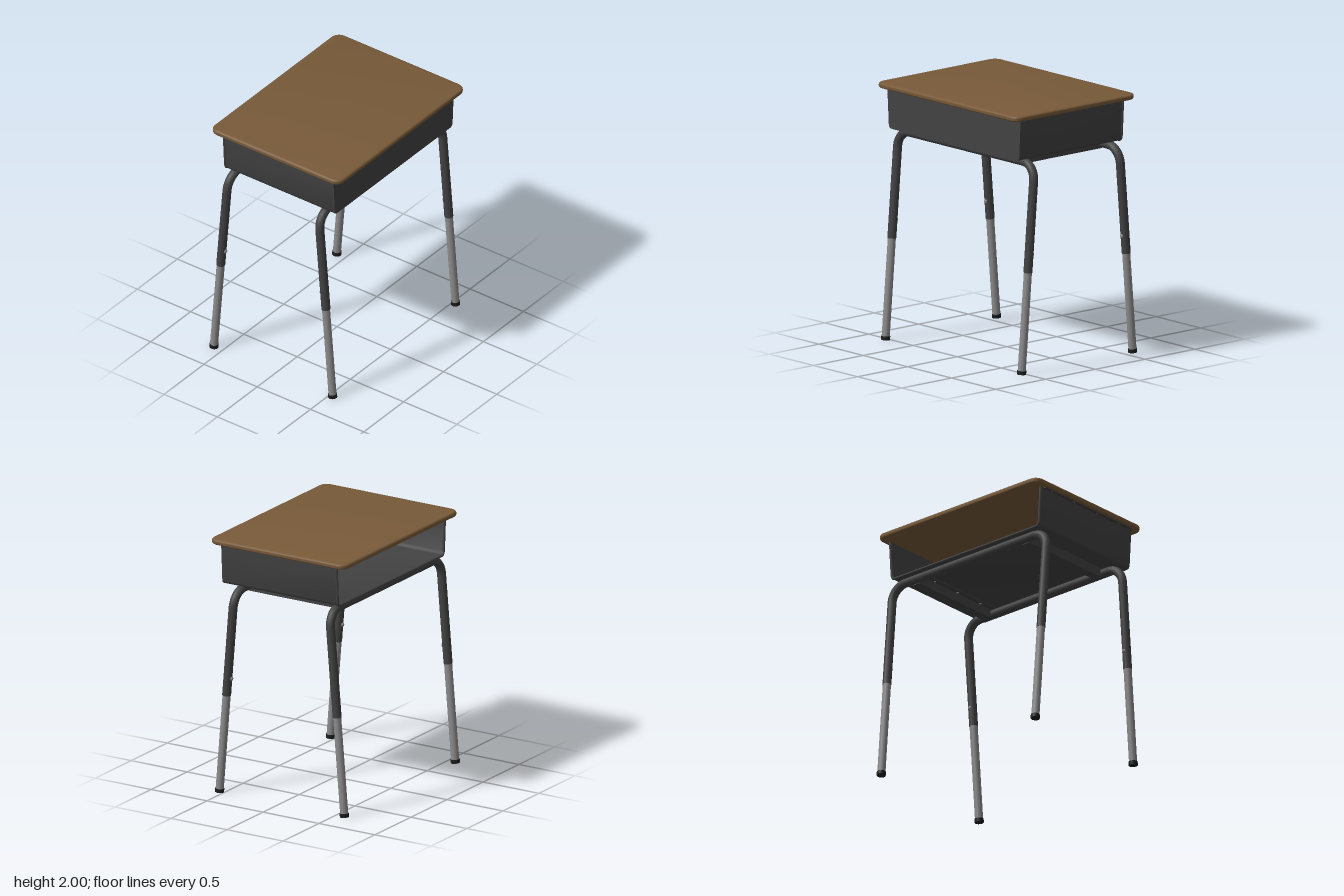
import * as THREE from 'three';
import { toCreasedNormals } from 'three/addons/utils/BufferGeometryUtils.js';

const mat = (name, color, side = THREE.FrontSide) => {
  const m = new THREE.MeshStandardMaterial({ color, side });
  m.name = name;
  return m;
};

export function createModel() {
  const wood = mat('brown wood', 0x785a39);
  const steel = mat('charcoal steel', 0x424242, THREE.DoubleSide);
  const chrome = mat('grey metal', 0x8c8c8c);
  const rubber = mat('black rubber', 0x1c1c1c);

  const model = new THREE.Group();
  model.name = 'schoolDesk';

  const add = (name, geometry, material, x = 0, y = 0, z = 0, parent = model) => {
    const mesh = new THREE.Mesh(geometry, material);
    mesh.name = name;
    mesh.position.set(x, y, z);
    parent.add(mesh);
    return mesh;
  };

  // Desktop: rounded rectangle with a bullnose edge
  const w = 0.785, d = 0.59, r = 0.055;
  const outline = new THREE.Shape();
  outline.moveTo(-w + r, -d);
  outline.lineTo(w - r, -d);
  outline.absarc(w - r, -d + r, r, -Math.PI / 2, 0);
  outline.lineTo(w, d - r);
  outline.absarc(w - r, d - r, r, 0, Math.PI / 2);
  outline.lineTo(-w + r, d);
  outline.absarc(-w + r, d - r, r, Math.PI / 2, Math.PI);
  outline.lineTo(-w, -d + r);
  outline.absarc(-w + r, -d + r, r, Math.PI, Math.PI * 1.5);
  const topGeo = new THREE.ExtrudeGeometry(outline, {
    depth: 0.01, bevelThickness: 0.016, bevelSize: 0.018, bevelSegments: 4, curveSegments: 8,
  });
  topGeo.rotateX(-Math.PI / 2);
  add('desktop', toCreasedNormals(topGeo, 0.6), wood, 0, 1.974, 0.0075);

  // Book box: tapered tray, closed at the front and open at the back
  const yTop = 1.958, yLow = 1.64;
  const trayPoints = (inset) => {
    const a = 0.755 - inset, b = 0.737 - inset, y = yLow + inset, c = 0.025;
    const half = [[a, yTop], [b + 0.001, y + c], [b - c * 0.3, y + c * 0.3], [b - c, y]];
    return [...half, ...half.map(([x, v]) => [-x, v]).reverse()].map(([x, v]) => new THREE.Vector2(x, v));
  };
  const extrude = (shape, depth) => new THREE.ExtrudeGeometry(shape, { depth, bevelEnabled: false });
  const wall = new THREE.Shape([...trayPoints(0), ...trayPoints(0.01).reverse()]);
  add('bookBoxTray', toCreasedNormals(extrude(wall, 1.02), 0.9), steel, 0, 0, -0.5);
  add('bookBoxFront', extrude(new THREE.Shape(trayPoints(0)), 0.012), steel, 0, 0, 0.52);

  // Rolled rim around the open back
  const rim = new THREE.CurvePath();
  const rimPts = trayPoints(0.003).map((p) => new THREE.Vector3(p.x, p.y, -0.497));
  for (let i = 0; i < rimPts.length - 1; i++) rim.add(new THREE.LineCurve3(rimPts[i], rimPts[i + 1]));
  add('bookBoxRim', new THREE.TubeGeometry(rim, 160, 0.01, 8), steel);

  // Mounting flanges under the desktop, with screws
  for (const s of [-1, 1]) {
    add('sideFlange', new THREE.BoxGeometry(0.03, 0.006, 0.98), steel, s * 0.765, 1.955, 0.02);
    for (const z of [-0.38, -0.13, 0.13, 0.38])
      add('flangeScrew', new THREE.CylinderGeometry(0.009, 0.009, 0.008, 10), steel, s * 0.768, 1.95, z);
  }
  add('frontFlange', new THREE.BoxGeometry(1.46, 0.006, 0.03), steel, 0, 1.955, 0.54);
  for (const x of [-0.48, -0.17, 0.17, 0.48])
    add('flangeScrew', new THREE.CylinderGeometry(0.009, 0.009, 0.008, 10), steel, x, 1.95, 0.545);

  // Two bent leg frames, splayed away from each other
  const legX = 0.77, bend = 0.125, yBar = 1.605;
  const addFrame = (name, zTop, zFoot) => {
    const frame = new THREE.Group();
    frame.name = name;
    model.add(frame);
    const at = (x, y) => new THREE.Vector3(x, y, zTop + (zFoot - zTop) * (1 - y / yBar));
    const ySleeve = 0.78, inward = -Math.sign(zFoot);
    const path = new THREE.CurvePath();
    const pts = [at(-legX, ySleeve)];
    for (let i = 0; i <= 10; i++) {
      const t = (i / 10) * Math.PI / 2;
      pts.push(at(-legX + bend * (1 - Math.cos(t)), yBar - bend * (1 - Math.sin(t))));
    }
    pts.push(...pts.map((p) => new THREE.Vector3(-p.x, p.y, p.z)).reverse());
    for (let i = 0; i < pts.length - 1; i++) path.add(new THREE.LineCurve3(pts[i], pts[i + 1]));
    add('upperFrameTube', new THREE.TubeGeometry(path, 140, 0.034, 14), steel, 0, 0, 0, frame);

    // Straight cylinder between two heights of one leg
    const rod = (part, x, y0, y1, radius, material) => {
      const a = at(x, y0), b = at(x, y1);
      const dir = b.clone().sub(a);
      const mesh = add(part, new THREE.CylinderGeometry(radius, radius, dir.length(), 14), material, 0, 0, 0, frame);
      mesh.position.copy(a).add(b).multiplyScalar(0.5);
      mesh.quaternion.setFromUnitVectors(new THREE.Vector3(0, 1, 0), dir.normalize());
    };
    for (const x of [-legX, legX]) {
      rod('lowerLeg', x, 0.02, 0.85, 0.031, chrome);
      rod('sleeveEnd', x, 0.778, 0.786, 0.0335, steel);
      rod('footCap', x, 0.003, 0.032, 0.035, rubber);
      const p = at(x, 0.915);
      const bolt = add('heightBolt', new THREE.SphereGeometry(0.016, 10, 8), chrome, x, p.y, p.z + inward * 0.034, frame);
      bolt.scale.z = 0.7;
    }
  };
  addFrame('frontLegFrame', 0.405, 0.537);
  addFrame('backLegFrame', -0.445, -0.58);

  // Rails joining the frames beneath the box
  for (const s of [-1, 1]) {
    add('supportRail', new THREE.BoxGeometry(0.07, 0.072, 0.83), steel, s * 0.55, 1.604, -0.02);
    add('railFlange', new THREE.BoxGeometry(0.05, 0.008, 0.78), steel, s * 0.495, 1.636, -0.02);
    for (const z of [-0.28, -0.02, 0.24])
      add('railScrew', new THREE.CylinderGeometry(0.009, 0.009, 0.008, 10), chrome, s * 0.495, 1.63, z);
  }
  return model;
}
